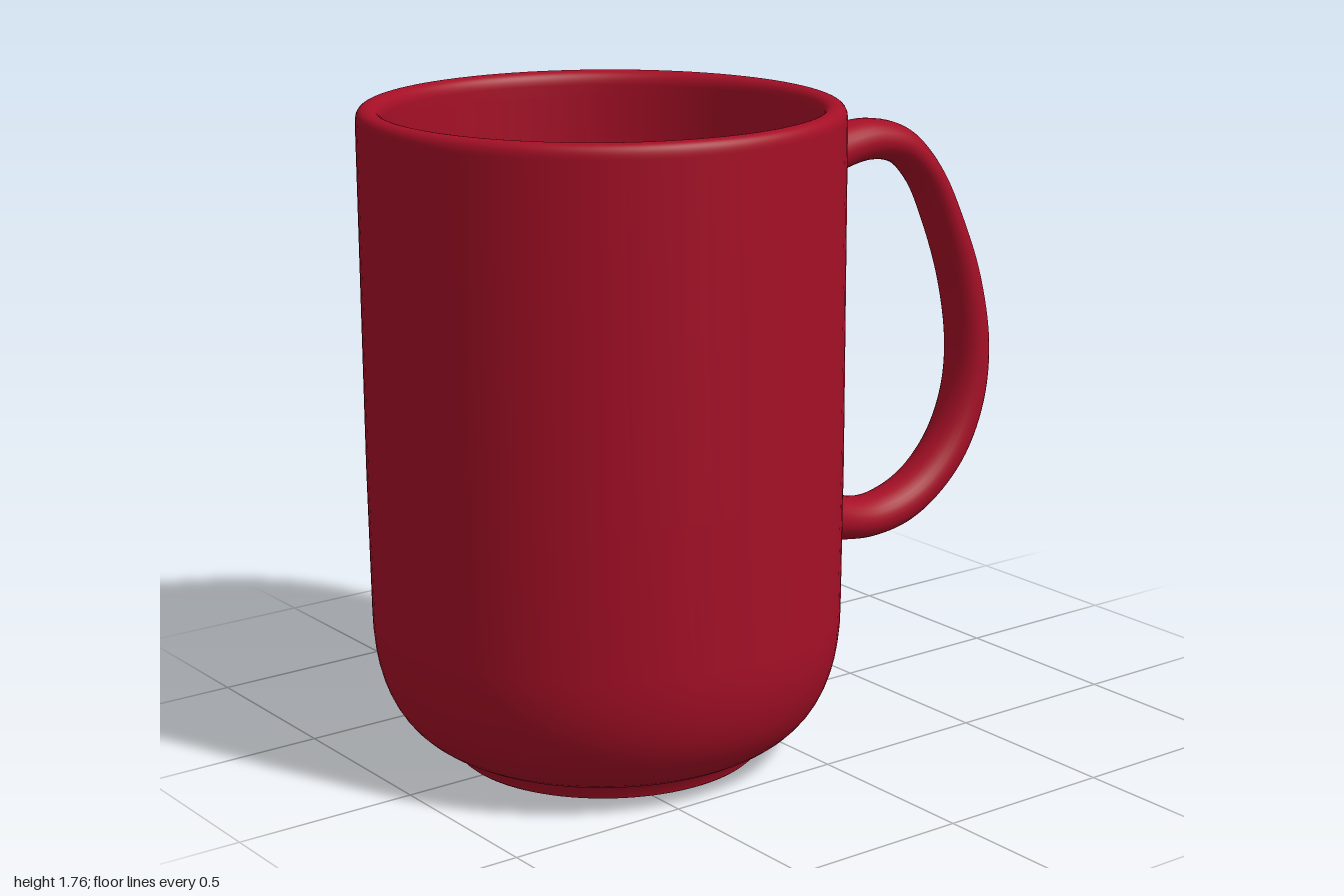
import * as THREE from 'three';

const CENTRE_Z = 0.365; // axis of the cup; the handle extends towards -z

// Closed wall profile: underside, foot ring, outer wall, rim, inner wall, floor
function cupGeometry() {
  const p = new THREE.Path();
  p.moveTo(0, 0.035);
  p.lineTo(0.37, 0.035);
  p.lineTo(0.385, 0.03);
  p.lineTo(0.39, 0.006);
  p.lineTo(0.395, 0);
  p.lineTo(0.41, 0);
  p.lineTo(0.417, 0.006);
  p.lineTo(0.422, 0.032);
  p.lineTo(0.44, 0.042);
  p.bezierCurveTo(0.56, 0.085, 0.63, 0.2, 0.631, 0.4);
  p.lineTo(0.635, 0.8);
  p.lineTo(0.635, 1.72);
  p.quadraticCurveTo(0.635, 1.757, 0.605, 1.757);
  p.quadraticCurveTo(0.572, 1.757, 0.57, 1.72);
  p.lineTo(0.57, 1.69);
  p.lineTo(0.57, 0.42);
  p.bezierCurveTo(0.568, 0.22, 0.51, 0.1, 0.36, 0.095);
  p.lineTo(0.3, 0.09);
  p.lineTo(0, 0.09);
  return new THREE.LatheGeometry(p.getPoints(12), 96);
}

// Handle stations: outer z, outer y, inner z, inner y, half width
const STATIONS = [
  [-0.235, 1.61, -0.235, 1.34, 0.12],
  [-0.27, 1.61, -0.27, 1.375, 0.105],
  [-0.33, 1.612, -0.325, 1.435, 0.09],
  [-0.41, 1.62, -0.41, 1.485, 0.08],
  [-0.55, 1.628, -0.54, 1.512, 0.075],
  [-0.68, 1.59, -0.645, 1.49, 0.074],
  [-0.79, 1.48, -0.725, 1.415, 0.074],
  [-0.88, 1.32, -0.79, 1.285, 0.074],
  [-0.955, 1.14, -0.85, 1.11, 0.074],
  [-0.997, 0.93, -0.88, 0.93, 0.074],
  [-0.98, 0.75, -0.87, 0.8, 0.074],
  [-0.91, 0.595, -0.82, 0.68, 0.074],
  [-0.8, 0.485, -0.735, 0.59, 0.074],
  [-0.68, 0.425, -0.645, 0.545, 0.075],
  [-0.55, 0.408, -0.54, 0.53, 0.075],
  [-0.41, 0.425, -0.42, 0.565, 0.08],
  [-0.33, 0.437, -0.335, 0.62, 0.09],
  [-0.27, 0.44, -0.27, 0.72, 0.105],
  [-0.235, 0.44, -0.235, 0.765, 0.12],
];

// Loft of oval rings between the outer and inner edge curves
function handleGeometry(steps = 108, sides = 28) {
  const outer = new THREE.CatmullRomCurve3(STATIONS.map(s => new THREE.Vector3(s[4], s[1], s[0])));
  const inner = new THREE.CatmullRomCurve3(STATIONS.map(s => new THREE.Vector3(s[4], s[3], s[2])));
  const positions = [], index = [];
  for (let i = 0; i <= steps; i++) {
    const o = outer.getPoint(i / steps), n = inner.getPoint(i / steps);
    for (let j = 0; j < sides; j++) {
      const a = (j / sides) * Math.PI * 2;
      const k = (1 + Math.cos(a)) / 2;
      positions.push(-0.01 + Math.sin(a) * o.x, n.y + (o.y - n.y) * k, n.z + (o.z - n.z) * k);
      if (i < steps) {
        const p = i * sides + j, q = i * sides + (j + 1) % sides;
        index.push(p, q, p + sides, q, q + sides, p + sides);
      }
    }
  }
  const g = new THREE.BufferGeometry();
  g.setAttribute('position', new THREE.Float32BufferAttribute(positions, 3));
  g.setIndex(index);
  g.computeVertexNormals();
  return g;
}

export function createModel() {
  const glaze = new THREE.MeshStandardMaterial({ color: 0xa50f26 });
  glaze.name = 'red glaze';

  const model = new THREE.Group();
  model.name = 'mug';

  const cup = new THREE.Mesh(cupGeometry(), glaze);
  cup.name = 'cup';
  cup.position.z = CENTRE_Z;

  const handle = new THREE.Mesh(handleGeometry(), glaze);
  handle.name = 'handle';

  model.add(cup, handle);
  return model;
}
